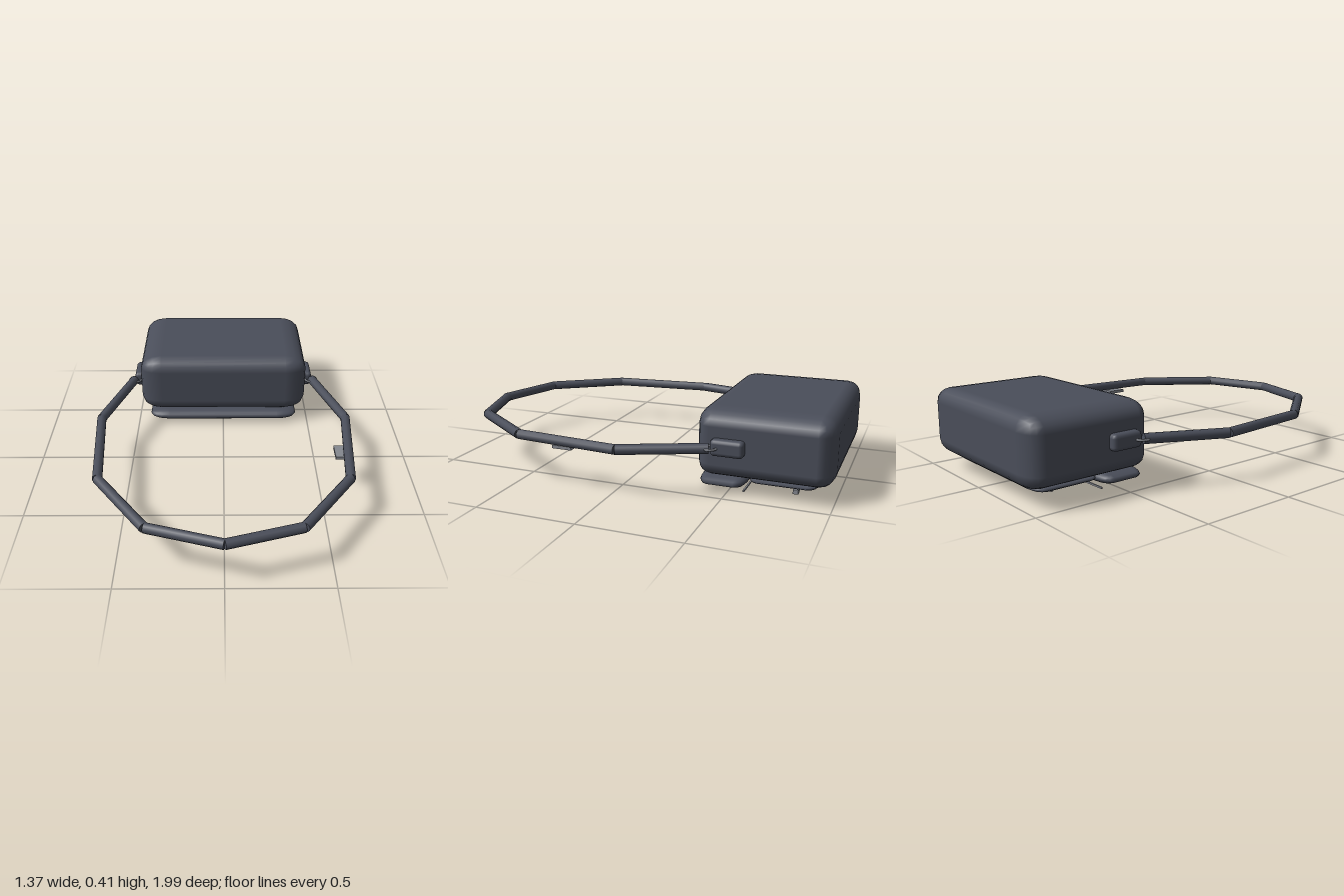
import * as THREE from 'three';
import { RoundedBoxGeometry } from 'three/addons/geometries/RoundedBoxGeometry.js';

const fabric = new THREE.MeshStandardMaterial({ name: 'slate fabric', color: 0x4a4e5a });
const metal = new THREE.MeshStandardMaterial({ name: 'grey metal', color: 0x85888f });

export function createModel() {
  const bag = new THREE.Group();
  bag.name = 'shoulderBag';

  const add = (name, geometry, material, x, y, z) => {
    const mesh = new THREE.Mesh(geometry, material);
    mesh.name = name;
    mesh.position.set(x, y, z);
    bag.add(mesh);
    return mesh;
  };
  // Rounded box with a different rounding along each axis
  const cushion = (w, h, d, rx, ry, rz) =>
    new RoundedBoxGeometry(w / rx, h / ry, d / rz, 2, 1).scale(rx, ry, rz);
  // Straight rod between two points
  const rod = (name, a, b, radius, sides, material) => {
    const dir = b.clone().sub(a);
    const mid = a.clone().add(b).multiplyScalar(0.5);
    const mesh = add(name, new THREE.CylinderGeometry(radius, radius, dir.length(), sides), material, mid.x, mid.y, mid.z);
    mesh.quaternion.setFromUnitVectors(new THREE.Vector3(0, 1, 0), dir.normalize());
  };
  const v = (x, y, z) => new THREE.Vector3(x, y, z);

  // Bag body and the padded pockets under it
  add('body', cushion(0.955, 0.333, 0.65, 0.12, 0.075, 0.075), fabric, 0, 0.248, -0.675);
  add('frontPocket', cushion(0.86, 0.056, 0.23, 0.11, 0.028, 0.05), fabric, 0, 0.047, -0.465);
  add('rearPocket', cushion(0.8, 0.034, 0.335, 0.1, 0.017, 0.05), fabric, 0, 0.067, -0.755);

  // Zips and their pulls
  add('frontZip', new THREE.BoxGeometry(0.76, 0.008, 0.008), metal, 0, 0.008, -0.572);
  add('rearZip', new THREE.BoxGeometry(0.72, 0.008, 0.01), metal, 0, 0.047, -0.83);
  add('zipSlider', new THREE.BoxGeometry(0.04, 0.022, 0.025), metal, 0.335, 0.03, -0.815);
  add('zipTab', new THREE.BoxGeometry(0.08, 0.006, 0.016), metal, 0.28, 0.036, -0.815);
  for (const x of [-0.1, -0.03, 0.04]) {
    rod('pullCord', v(x + 0.03, 0.04, -0.575), v(x - 0.03, 0.04, -0.71), 0.004, 6, metal);
  }

  // Strap mounts, rings and the straight strap segments on both sides
  const path = [[0.52, 0.25, -0.44], [0.66, 0.238, -0.035], [0.61, 0.236, 0.505], [0.355, 0.236, 0.86], [0, 0.236, 0.968]];
  for (const side of [1, -1]) {
    add('strapMount', cushion(0.06, 0.08, 0.16, 0.02, 0.02, 0.02), fabric, side * 0.487, 0.25, -0.52);
    const ring = add('strapRing', new THREE.TorusGeometry(0.033, 0.006, 6, 16), metal, side * 0.515, 0.25, -0.442);
    ring.rotation.x = Math.PI / 2;
    for (let i = 0; i < path.length - 1; i++) {
      const [a, b] = [path[i], path[i + 1]].map(([x, y, z]) => v(side * x, y, z));
      rod('strapSegment', a, b, 0.025, 10, fabric);
    }
  }

  // Adjuster buckle under one side of the strap
  add('strapBuckle', new THREE.BoxGeometry(0.08, 0.016, 0.1), metal, 0.608, 0.208, 0.25);

  return bag;
}
